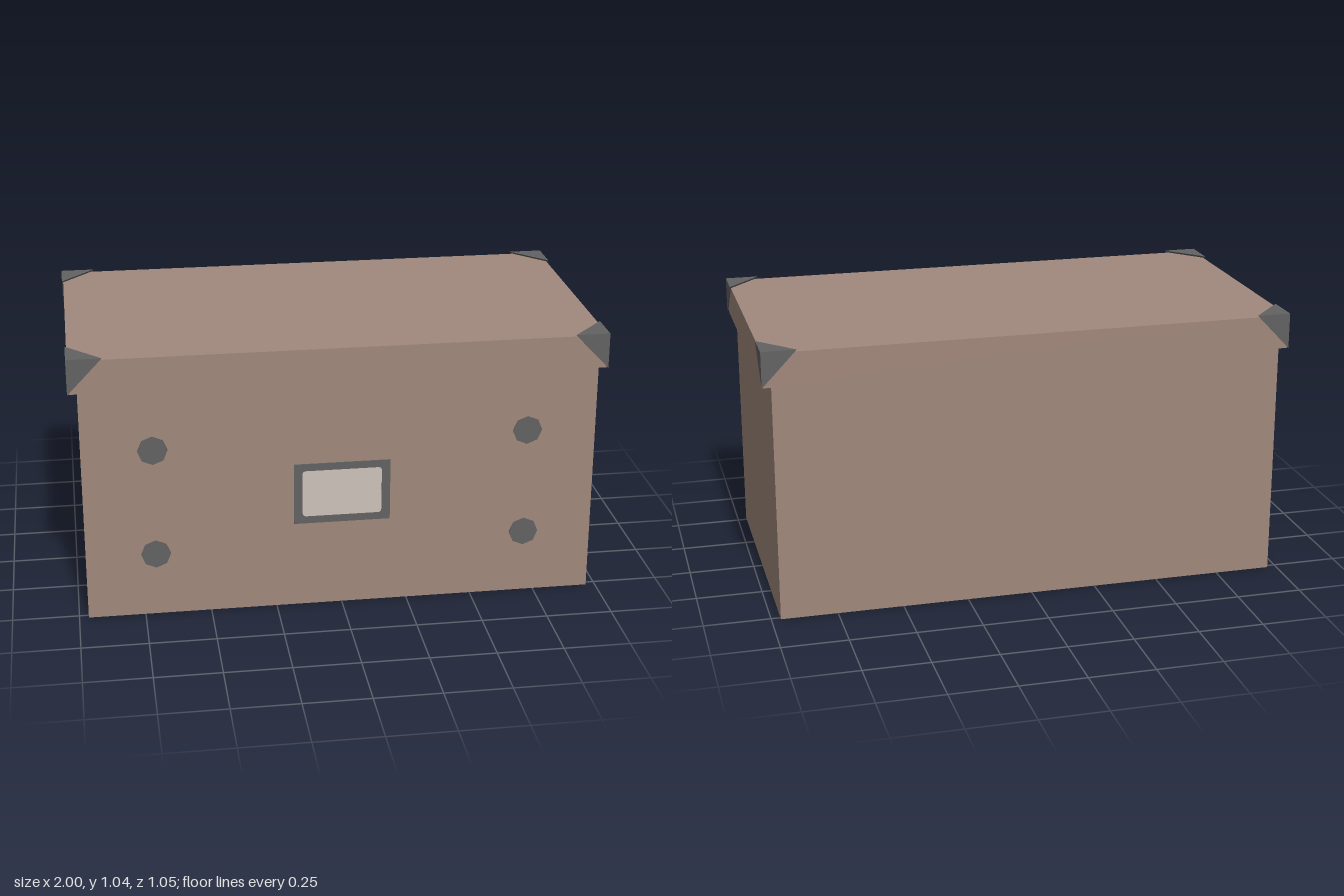
import * as THREE from 'three';

const mat = (name, color) => Object.assign(new THREE.MeshStandardMaterial({ color }), { name });

export function createModel() {
  const cardboard = mat('cardboard brown', 0xa1887c);
  const metal = mat('metal grey', 0x636262);
  const paper = mat('label paper', 0xcdc2ba);
  const group = new THREE.Group();
  group.name = 'storageBox';

  const add = (name, geometry, material, x = 0, y = 0, z = 0) => {
    const mesh = new THREE.Mesh(geometry, material);
    mesh.name = name;
    mesh.position.set(x, y, z);
    group.add(mesh);
    return mesh;
  };

  // Body and lid share the front plane; the lid overhangs the sides and back
  const front = 0.519;
  add('body', new THREE.BoxGeometry(1.93, 0.905, 1.033), cardboard, 0, 0.4525, front - 0.5165);
  add('lid', new THREE.BoxGeometry(1.99, 0.128, 1.041), cardboard, 0, 0.969, front - 0.5205);

  // Metal corner caps: three-sided wedges standing slightly proud of the lid
  const cornerCap = (sx, sz) => {
    const X = 1, Y = 1.041, Z = 0.526;
    const p = [
      [sx * X, Y, sz * Z],
      [sx * (X - 0.13), Y, sz * Z],
      [sx * X, Y - 0.136, sz * Z],
      [sx * X, Y, sz * (Z - 0.142)],
    ];
    const faces = [[0, 1, 2], [0, 2, 3], [0, 3, 1], [1, 3, 2]];
    const points = faces.flatMap(([a, b, c]) => (sx * sz > 0 ? [a, b, c] : [a, c, b])).flatMap((i) => p[i]);
    const geometry = new THREE.BufferGeometry();
    geometry.setAttribute('position', new THREE.Float32BufferAttribute(points, 3));
    geometry.computeVertexNormals();
    return geometry;
  };
  for (const sx of [-1, 1]) {
    for (const sz of [-1, 1]) {
      add(`${sz > 0 ? 'front' : 'back'}${sx > 0 ? 'Left' : 'Right'}Corner`, cornerCap(sx, sz), metal);
    }
  }

  // Eight-sided rivets on the front
  const rivet = new THREE.CylinderGeometry(0.056, 0.056, 0.006, 8).rotateX(Math.PI / 2);
  for (const x of [-0.703, 0.703]) {
    for (const y of [0.25, 0.67]) add('rivet', rivet, metal, x, y, front);
  }

  // Label holder: metal frame with a rounded opening and a paper card in it
  const roundedRect = (path, w, h, r) => {
    path.moveTo(-w + r, -h);
    path.lineTo(w - r, -h);
    path.quadraticCurveTo(w, -h, w, -h + r);
    path.lineTo(w, h - r);
    path.quadraticCurveTo(w, h, w - r, h);
    path.lineTo(-w + r, h);
    path.quadraticCurveTo(-w, h, -w, h - r);
    path.lineTo(-w, -h + r);
    path.quadraticCurveTo(-w, -h, -w + r, -h);
    return path;
  };
  const frame = new THREE.Shape([
    new THREE.Vector2(-0.182, -0.121), new THREE.Vector2(0.182, -0.121),
    new THREE.Vector2(0.182, 0.121), new THREE.Vector2(-0.182, 0.121),
  ]);
  frame.holes.push(roundedRect(new THREE.Path(), 0.15, 0.093, 0.015));
  const extrude = (shape, depth) => new THREE.ExtrudeGeometry(shape, { depth, bevelEnabled: false, curveSegments: 4 });
  add('labelFrame', extrude(frame, 0.004), metal, 0, 0.461, front);
  add('labelCard', extrude(roundedRect(new THREE.Shape(), 0.15, 0.093, 0.015), 0.002), paper, 0, 0.461, front);

  return group;
}
